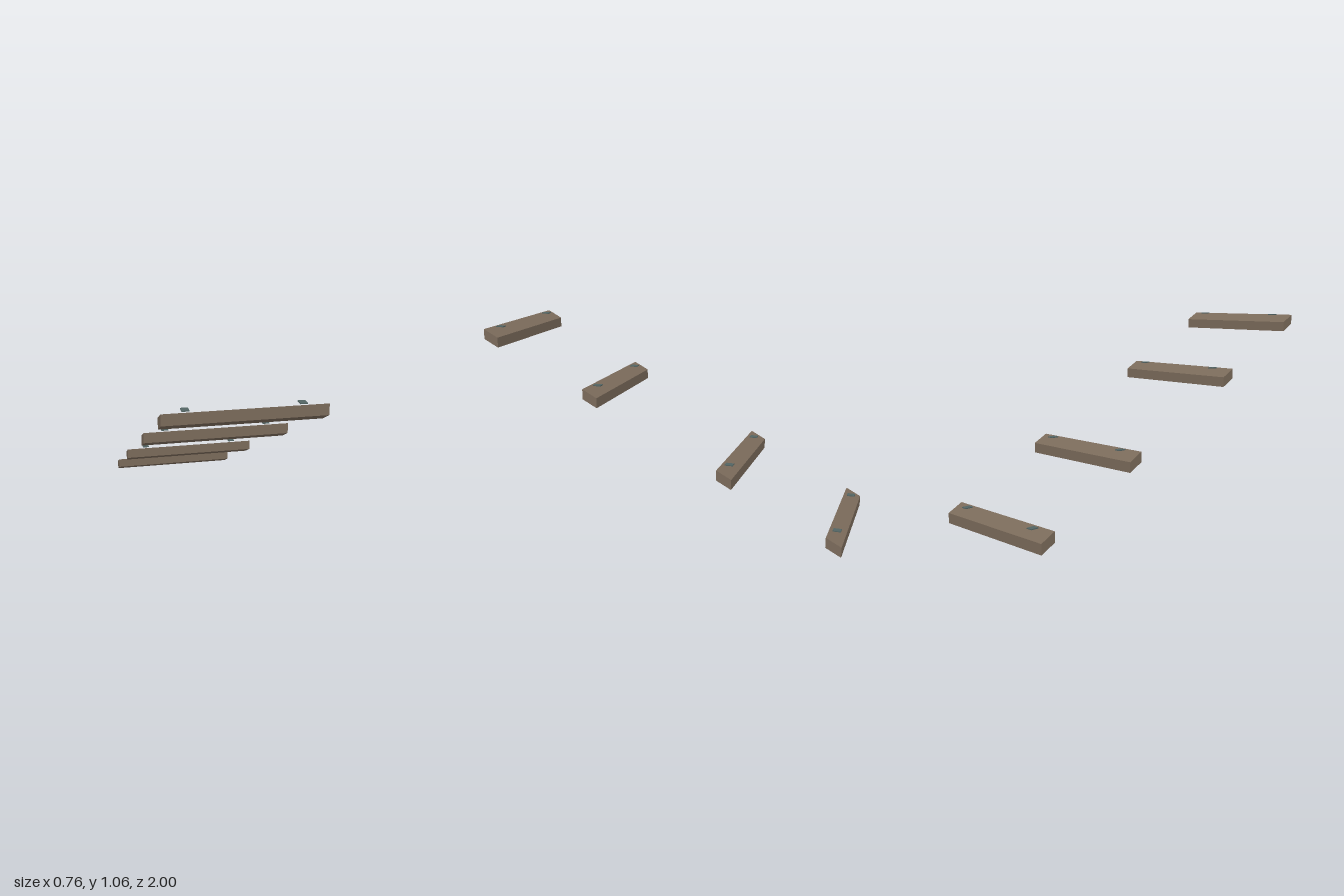
import * as THREE from 'three';

const WIDTH = 0.76, DEPTH = 0.082, HEIGHT = 0.055, RISE = 0.043;

// Box sheared upward towards the front; its ends and front stay vertical
function shearedBeam() {
  const geometry = new THREE.BoxGeometry(WIDTH, HEIGHT, DEPTH);
  const pos = geometry.attributes.position;
  for (let i = 0; i < pos.count; i++) {
    pos.setY(i, pos.getY(i) + HEIGHT / 2 + (pos.getZ(i) / DEPTH + 0.5) * RISE);
  }
  geometry.computeVertexNormals();
  return geometry;
}

export function createModel() {
  const model = new THREE.Group();
  model.name = 'steppedBeams';

  const wood = new THREE.MeshStandardMaterial({ color: 0x7a6a5a });
  wood.name = 'weatheredBrown';
  const metal = new THREE.MeshStandardMaterial({ color: 0x526463 });
  metal.name = 'slateTeal';

  const beamGeometry = shearedBeam();
  const padGeometry = new THREE.BoxGeometry(0.035, 0.005, 0.043);

  // Four beams climbing towards the front: [base height, z]
  const steps = [[0, -0.959], [0.294, -0.376], [0.668, 0.376], [0.961, 0.959]];
  for (const [y, z] of steps) {
    const step = new THREE.Group();
    step.name = 'step';
    step.position.set(0, y, z);

    const beam = new THREE.Mesh(beamGeometry, wood);
    beam.name = 'beam';
    step.add(beam);

    // Level pads hovering just over the sloping top
    for (const side of [-1, 1]) {
      const pad = new THREE.Mesh(padGeometry, metal);
      pad.name = side > 0 ? 'leftPad' : 'rightPad';
      pad.position.set(side * 0.267, 0.0985, 0);
      step.add(pad);
    }
    model.add(step);
  }
  return model;
}
